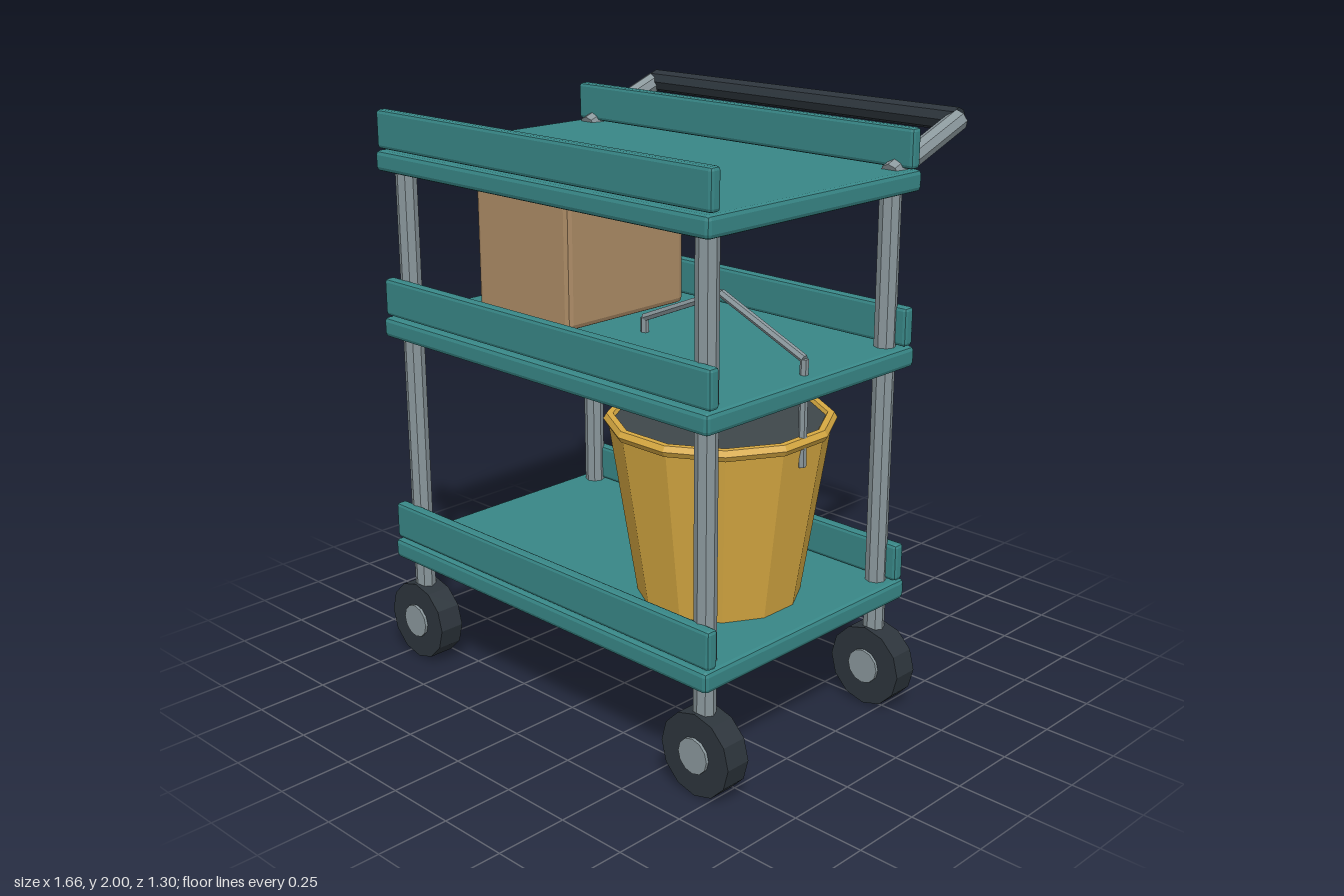
import * as THREE from 'three';
import { RoundedBoxGeometry } from 'three/addons/geometries/RoundedBoxGeometry.js';

const mat = (name, color) => {
  const m = new THREE.MeshStandardMaterial({ color });
  m.name = name;
  return m;
};

// Facet a geometry: every face gets its own normal
function faceted(geometry) {
  const g = geometry.index ? geometry.toNonIndexed() : geometry;
  g.computeVertexNormals();
  return g;
}

export function createModel() {
  const teal = mat('teal paint', 0x388787);
  const steel = mat('grey steel', 0x8a979c);
  const rubber = mat('dark rubber', 0x2d353c);
  const card = mat('brown cardboard', 0xae8d67);
  const yellow = mat('yellow plastic', 0xd8aa42);
  const water = mat('dark water', 0x3f474b);

  const cart = new THREE.Group();
  cart.name = 'serviceCart';
  const midZ = 0.155, postX = 0.69, postZ = [0.575, -0.267];

  function add(name, geometry, material, x = 0, y = 0, z = 0, parent = cart) {
    const mesh = new THREE.Mesh(faceted(geometry), material);
    mesh.name = name;
    mesh.position.set(x, y, z);
    parent.add(mesh);
    return mesh;
  }

  const chamferBox = (w, h, d, r) => new RoundedBoxGeometry(w, h, d, 1, r);

  // Straight rod between two points
  function rod(name, a, b, radius, sides, material, parent = cart) {
    const dir = b.clone().sub(a);
    const mid = a.clone().add(b).multiplyScalar(0.5);
    const mesh = add(name, new THREE.CylinderGeometry(radius, radius, dir.length(), sides),
      material, mid.x, mid.y, mid.z, parent);
    mesh.quaternion.setFromUnitVectors(new THREE.Vector3(0, 1, 0), dir.normalize());
    return mesh;
  }
  const v = (x, y, z) => new THREE.Vector3(x, y, z);

  // Three trays, each with a front and a back rail
  for (const y of [0.415, 1.235, 1.81]) {
    add('shelf', chamferBox(1.52, 0.07, 0.985, 0.015), teal, 0, y, midZ);
    for (const z of [0.615, -0.302]) {
      add('shelfRail', chamferBox(1.52, 0.13, 0.043, 0.012), teal, 0, y + 0.104, z);
    }
  }

  // Posts and wheels at the four corners
  for (const x of [-postX, postX]) {
    for (const z of postZ) {
      rod('post', v(x, 0.2, z), v(x, 1.8, z), 0.036, 8, steel);
      const wheel = new THREE.Group();
      wheel.name = 'wheel';
      wheel.position.set(x, 0.142, z);
      cart.add(wheel);
      add('tyre', new THREE.CylinderGeometry(0.141, 0.141, 0.092, 12).rotateX(Math.PI / 2),
        rubber, 0, 0, 0, wheel);
      add('hub', new THREE.CylinderGeometry(0.06, 0.06, 0.04, 12).rotateX(Math.PI / 2),
        steel, 0, 0, 0.036, wheel);
    }
    // Sloping arm of the push handle
    rod('handleArm', v(x, 1.83, -0.26), v(x, 1.962, -0.615), 0.036, 8, steel);
  }
  rod('handleGrip', v(-postX, 1.962, -0.615), v(postX, 1.962, -0.615), 0.04, 8, rubber);

  // Cardboard box over the middle tray
  add('box', chamferBox(0.455, 0.465, 0.535, 0.02), card, -0.29, 1.538, midZ);

  // Bucket with rim, contents and bail
  const bucket = new THREE.Group();
  bucket.name = 'bucket';
  bucket.position.set(0.36, 0, midZ);
  cart.add(bucket);
  const turn = Math.PI / 12;
  add('bucketBody', new THREE.CylinderGeometry(0.365, 0.272, 0.6, 12).rotateY(turn),
    yellow, 0, 0.75, 0, bucket);
  add('bucketRim', new THREE.TorusGeometry(0.358, 0.021, 6, 12).rotateX(Math.PI / 2).rotateY(turn),
    yellow, 0, 1.05, 0, bucket);
  add('bucketContents', new THREE.CylinderGeometry(0.345, 0.345, 0.008, 12).rotateY(turn),
    water, 0, 1.053, 0, bucket);
  const bail = [v(-0.345, 0.97, 0), v(-0.345, 1.32, 0), v(0, 1.465, 0), v(0.345, 1.32, 0), v(0.345, 0.97, 0)];
  for (let i = 0; i < bail.length - 1; i++) {
    rod('bucketBail', bail[i], bail[i + 1], 0.014, 6, steel, bucket);
  }

  return cart;
}
